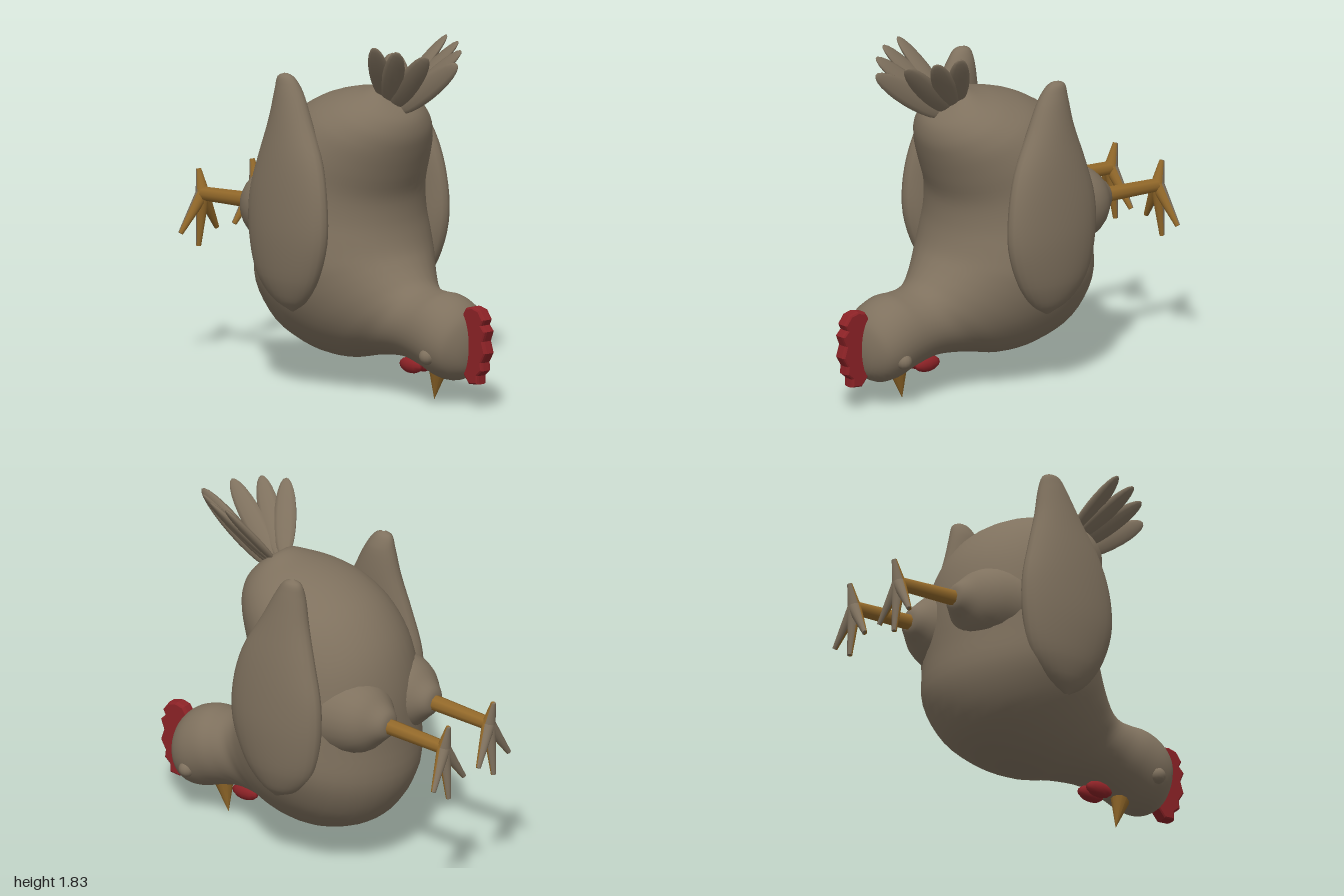
import * as THREE from 'three';

const material = (name, color) => {
  const m = new THREE.MeshStandardMaterial({ color });
  m.name = name;
  return m;
};
const V = (x, y, z) => new THREE.Vector3(x, y, z);

// Smooth skin over oval rings. Row: [yTop, zTop, yUnder, zUnder, halfWidth], placed around x = xOf(row).
function loft(rows, steps, sides, xOf = () => 0) {
  const top = new THREE.CatmullRomCurve3(rows.map(r => V(0, r[0], r[1])));
  const under = new THREE.CatmullRomCurve3(rows.map(r => V(0, r[2], r[3])));
  const width = new THREE.CatmullRomCurve3(rows.map((r, i) => V(r[4], xOf(r), i * 0.1)));
  const pos = [], index = [];
  for (let i = 0; i <= steps; i++) {
    const a = top.getPoint(i / steps), b = under.getPoint(i / steps), w = width.getPoint(i / steps);
    const mid = a.clone().add(b).multiplyScalar(0.5), half = a.clone().sub(mid);
    for (let j = 0; j < sides; j++) {
      const t = j / sides * Math.PI * 2, c = Math.cos(t);
      pos.push(w.y + Math.sin(t) * w.x, mid.y + half.y * c, mid.z + half.z * c);
      if (i < steps) {
        const k = (j + 1) % sides, p = i * sides, q = p + sides;
        index.push(p + j, q + j, p + k, p + k, q + j, q + k);
      }
    }
  }
  const g = new THREE.BufferGeometry();
  g.setAttribute('position', new THREE.Float32BufferAttribute(pos, 3));
  g.setIndex(index);
  g.computeVertexNormals();
  return g;
}

// Turns a mesh so its y axis follows dir and its z axis stays near facing
function orient(mesh, dir, facing) {
  const y = dir.clone().normalize();
  const z = facing.clone().addScaledVector(y, -facing.dot(y)).normalize();
  mesh.quaternion.setFromRotationMatrix(new THREE.Matrix4().makeBasis(y.clone().cross(z), y, z));
  return mesh;
}

export function createModel() {
  const model = new THREE.Group();
  const plumage = material('plumage brown', 0x7f715e);
  const horn = material('horn yellow', 0x93692a);
  const red = material('comb red', 0x8c2226);

  const add = (name, geometry, mat, parent = model) => {
    const mesh = new THREE.Mesh(geometry, mat);
    mesh.name = name;
    parent.add(mesh);
    return mesh;
  };

  // Tapered rod from a to b; start and length select a part of its circumference
  const rod = (name, a, b, ra, rb, mat, parent, start = 0, length = Math.PI * 2) => {
    const dir = b.clone().sub(a);
    const g = new THREE.CylinderGeometry(rb, ra, dir.length(), 8, 1, false, start, length);
    const mesh = orient(add(name, g, mat, parent), dir, V(0, 0.01, 1));
    mesh.position.copy(a).add(b).multiplyScalar(0.5);
    return mesh;
  };

  // Rump, body, neck and head in one skin
  add('body', loft([
    [1.52, 0.30, 1.53, 0.29, 0.005],
    [1.47, 0.36, 1.575, 0.22, 0.10],
    [1.41, 0.40, 1.56, 0.12, 0.19],
    [1.33, 0.41, 1.54, 0.00, 0.27],
    [1.24, 0.39, 1.49, -0.16, 0.34],
    [1.12, 0.35, 1.38, -0.33, 0.39],
    [1.00, 0.31, 1.20, -0.46, 0.42],
    [0.88, 0.31, 0.98, -0.52, 0.44],
    [0.79, 0.33, 0.72, -0.53, 0.46],
    [0.72, 0.36, 0.48, -0.53, 0.46],
    [0.67, 0.40, 0.27, -0.41, 0.41],
    [0.63, 0.44, 0.16, -0.19, 0.34],
    [0.59, 0.49, 0.14, 0.02, 0.27],
    [0.57, 0.55, 0.18, 0.22, 0.215],
    [0.565, 0.62, 0.20, 0.42, 0.20],
    [0.565, 0.70, 0.17, 0.57, 0.205],
    [0.53, 0.79, 0.13, 0.69, 0.20],
    [0.47, 0.85, 0.13, 0.78, 0.17],
    [0.40, 0.875, 0.18, 0.85, 0.10],
    [0.30, 0.885, 0.29, 0.885, 0.004],
  ], 76, 36), plumage);

  // Wing rows: [y, front z, back z, inner x, outer x]
  const wingRows = [
    [1.64, -0.11, -0.13, 0.37, 0.38],
    [1.62, -0.07, -0.17, 0.34, 0.41],
    [1.55, -0.02, -0.19, 0.31, 0.43],
    [1.40, 0.06, -0.22, 0.30, 0.46],
    [1.20, 0.17, -0.28, 0.31, 0.495],
    [1.00, 0.22, -0.33, 0.32, 0.515],
    [0.80, 0.22, -0.33, 0.32, 0.52],
    [0.60, 0.15, -0.28, 0.33, 0.50],
    [0.48, 0.06, -0.18, 0.35, 0.46],
    [0.42, -0.03, -0.05, 0.40, 0.41],
  ];

  // Feather rows: root, tip and sideways lean of the blade
  const feathers = [
    [V(0.03, 1.50, 0.25), V(0.25, 1.83, 0.41), 0.45],
    [V(0.03, 1.49, 0.27), V(0.21, 1.82, 0.54), 0.45],
    [V(0.02, 1.47, 0.29), V(0.12, 1.80, 0.66), 0.4],
  ];
  const feather = (name, root, tip, lean) => {
    const dir = tip.clone().sub(root);
    const mesh = add(name, new THREE.SphereGeometry(1, 10, 12), plumage);
    const blade = V(lean, 0.1, -1);
    orient(mesh, dir, blade);
    mesh.position.copy(root).add(tip).multiplyScalar(0.5);
    mesh.scale.set(0.022, dir.length() / 2, 0.06);
  };
  feather('middleTailFeather', V(0, 1.45, 0.32), V(0, 1.76, 0.76), 0);

  for (const s of [1, -1]) {
    const side = s > 0 ? 'left' : 'right';
    add(side + 'Wing', loft(
      wingRows.map(([y, f, b, xi, xo]) => [y, f, y, b, (xo - xi) / 2, s * (xi + xo) / 2]),
      36, 24, r => r[5]), plumage);

    for (const [root, tip, lean] of feathers) {
      const m = V(s, 1, 1);
      feather(side + 'TailFeather', root.clone().multiply(m), tip.clone().multiply(m), s * lean);
    }

    // Thigh bulging out of the belly, then shank and foot
    const leg = new THREE.Group();
    leg.name = side + 'Leg';
    model.add(leg);
    const profile = new THREE.SplineCurve([[0.22, 0.28], [0.2, 0.41], [0.165, 0.49], [0.11, 0.55], [0.06, 0.6], [0.002, 0.61]]
      .map(p => new THREE.Vector2(...p))).getPoints(20);
    const thigh = add('thigh', new THREE.LatheGeometry(profile, 24), plumage, leg);
    thigh.rotation.x = -Math.PI / 2;
    thigh.position.set(s * 0.185, 0.89, 0);
    const ankle = V(s * 0.185, 0.865, -0.95);
    rod('shank', V(s * 0.185, 0.885, -0.57), ankle, 0.042, 0.036, horn, leg);
    for (const [dx, y] of [[0, 0.59], [0.125, 0.67], [-0.125, 0.67], [0, 0.99]]) {
      const tip = V(s * 0.185 + dx, y, -0.98);
      rod('toe', ankle, tip, 0.036, 0.013, horn, leg, -Math.PI / 2, Math.PI);
      rod('toeSole', ankle, tip, 0.036, 0.013, plumage, leg, Math.PI / 2, Math.PI);
    }

    const eye = add(side + 'Eye', new THREE.SphereGeometry(0.042, 14, 10), plumage);
    eye.position.set(s * 0.175, 0.265, 0.72);

    const wattle = add(side + 'Wattle', new THREE.SphereGeometry(1, 10, 8), red);
    wattle.scale.set(0.035, 0.042, 0.08);
    wattle.position.set(s * 0.035, 0.163, 0.45);
  }

  // Beak, its tip pulled back under the head
  const beak = new THREE.ConeGeometry(0.062, 0.2, 12);
  const p = beak.attributes.position;
  for (let i = 0; i < p.count; i++) p.setZ(i, p.getZ(i) + (p.getY(i) + 0.1) * -0.2);
  beak.computeVertexNormals();
  const beakMesh = add('beak', beak.rotateX(Math.PI), horn);
  beakMesh.position.set(0, 0.1, 0.625);
  beakMesh.scale.z = -1;

  // Jagged comb: outline in (z, y)
  const comb = new THREE.Shape([
    [0.86, 0.51], [0.9, 0.52], [0.945, 0.51], [0.975, 0.47], [0.96, 0.44], [0.99, 0.41], [0.97, 0.36], [0.99, 0.3],
    [0.96, 0.25], [0.965, 0.21], [0.93, 0.18], [0.93, 0.14], [0.88, 0.135], [0.84, 0.18], [0.81, 0.3], [0.82, 0.45],
  ].map(q => new THREE.Vector2(...q)));
  const combGeometry = new THREE.ExtrudeGeometry(comb, {
    depth: 0.035, bevelEnabled: true, bevelThickness: 0.017, bevelSize: 0.01, bevelSegments: 2,
  }).translate(0, 0, -0.0175);
  add('comb', combGeometry, red).rotation.y = -Math.PI / 2;

  return model;
}
